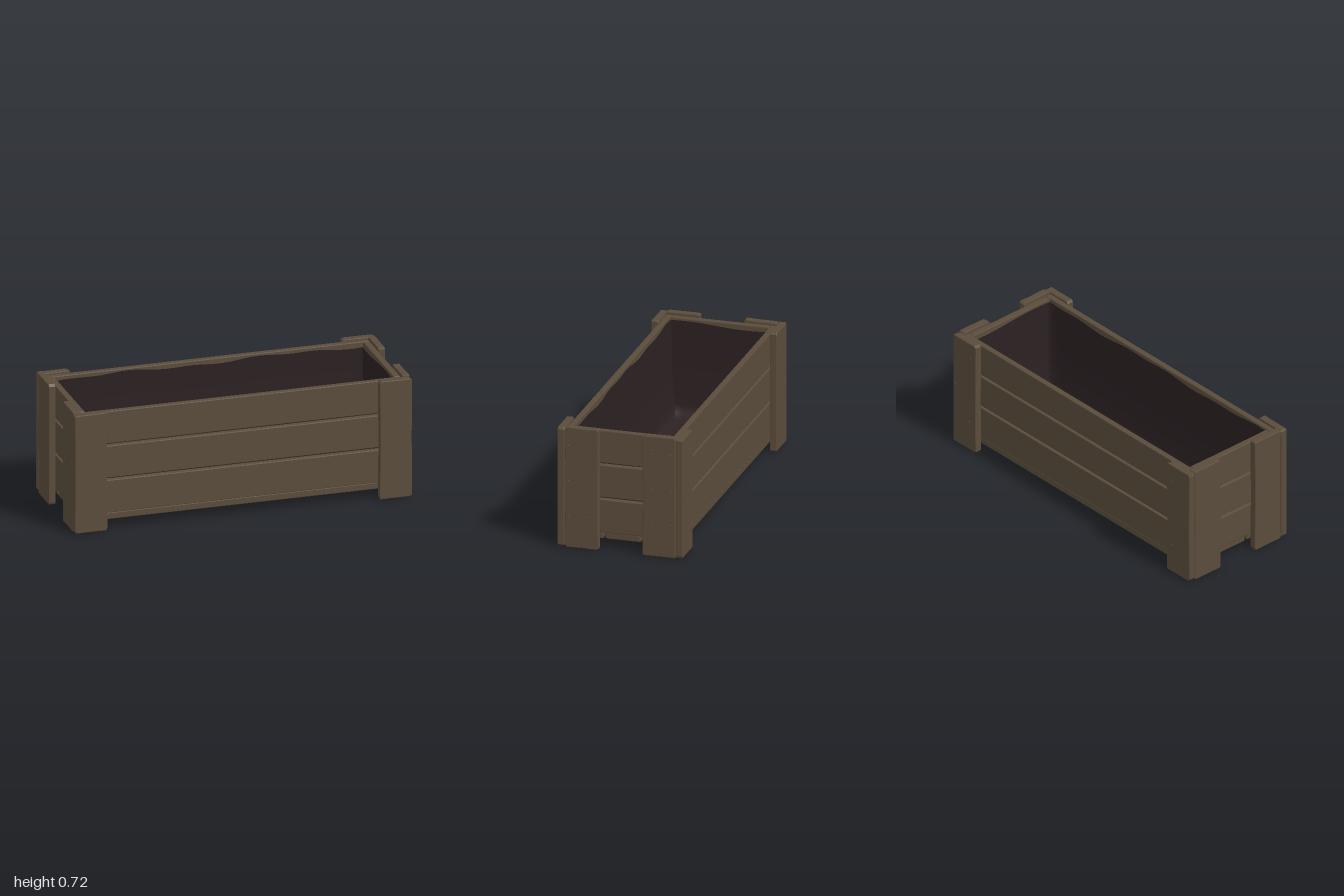
import * as THREE from 'three';

// Small seeded random for hand-cut irregularity
function makeRandom(seed) {
  let s = seed;
  return () => {
    s = (s * 16807) % 2147483647;
    return s / 2147483647;
  };
}

export function createModel() {
  const rand = makeRandom(4217);
  const wood = new THREE.MeshStandardMaterial({ color: 0x5a4c3b });
  wood.name = 'weathered wood';
  const cloth = new THREE.MeshStandardMaterial({ color: 0x2b2022, side: THREE.DoubleSide });
  cloth.name = 'dark liner';

  const model = new THREE.Group();
  model.name = 'planterCrate';

  // Bevelled board in the XY plane, centred, with uneven worn corners
  function boardGeometry(w, h, d, cut, wobble) {
    const b = 0.005;
    const x = w / 2 - b, y = h / 2 - b;
    const c = () => cut * (0.4 + rand());
    const j = () => -rand() * wobble;
    const pts = [
      [-x + c(), -y], [0, -y - j() * 0.5], [x - c(), -y],
      [x, -y + c()], [x + j(), 0], [x, y - c()],
      [x - c(), y + j()], [w * 0.15, y + j()], [-x + c(), y + j()],
      [-x, y - c()], [-x - j(), 0], [-x, -y + c()],
    ].map(([px, py]) => new THREE.Vector2(px, py));
    const geo = new THREE.ExtrudeGeometry(new THREE.Shape(pts), {
      depth: d - 2 * b, bevelEnabled: true, bevelThickness: b, bevelSize: b, bevelSegments: 2,
    });
    geo.translate(0, 0, -(d - 2 * b) / 2);
    return geo;
  }

  function addBoard(parent, name, size, pos, rot = [0, 0, 0], cut = 0.005, wobble = 0.002) {
    const mesh = new THREE.Mesh(boardGeometry(...size, cut, wobble), wood);
    mesh.name = name;
    mesh.position.set(...pos);
    mesh.rotation.set(...rot);
    parent.add(mesh);
    return mesh;
  }

  // Three rows of wall planks on each side
  const rows = [[0.093, 0.292], [0.304, 0.498], [0.51, 0.706]];
  for (const [y0, y1] of rows) {
    const h = y1 - y0, y = (y0 + y1) / 2;
    for (const s of [1, -1]) {
      addBoard(model, s > 0 ? 'frontPlank' : 'backPlank', [1.9, h, 0.035], [0, y, s * 0.308]);
      addBoard(model, s > 0 ? 'leftEndPlank' : 'rightEndPlank', [0.58, h, 0.038],
        [s * 0.929, y, 0], [0, Math.PI / 2, 0]);
    }
  }

  // Floor planks
  for (const z of [-0.22, 0, 0.22]) {
    addBoard(model, 'floorPlank', [1.88, 0.21, 0.041], [0, 0.0755, z], [Math.PI / 2, 0, 0]);
  }

  // Corner boards: one on the long face and one on the end face, with nails
  const nailGeo = new THREE.SphereGeometry(0.006, 8, 6);
  function addNail(board, x, y, depth) {
    const nail = new THREE.Mesh(nailGeo, wood);
    nail.name = 'nail';
    nail.position.set(x + (rand() - 0.5) * 0.014, y + (rand() - 0.5) * 0.012, depth / 2 - 0.002);
    board.add(nail);
  }
  const nailRows = [-0.172, 0.036, 0.253];
  for (const sx of [1, -1]) {
    for (const sz of [1, -1]) {
      const corner = new THREE.Group();
      corner.name = `${sz > 0 ? 'front' : 'back'}${sx > 0 ? 'Left' : 'Right'}Corner`;
      const face = addBoard(corner, 'faceBoard', [0.192, 0.712, 0.042],
        [sx * 0.898, 0.362, sz * 0.348], [0, sz > 0 ? 0 : Math.PI, 0], 0.009, 0.004);
      const end = addBoard(corner, 'endBoard', [0.197, 0.722, 0.042],
        [sx * 0.971, 0.361, sz * 0.2275], [0, sx * Math.PI / 2, 0], 0.009, 0.004);
      nailRows.forEach((y, i) => {
        addNail(face, sx * sz * (i === 1 ? 0.07 : -0.05), y, 0.042);
        for (const out of [0.075, -0.042]) addNail(end, -sx * sz * out, y, 0.042);
      });
      model.add(corner);
    }
  }

  // Deep cloth liner: square rings of a grid form the floor, then the outer rings climb the walls
  const X = 0.907, Z = 0.287, SPLIT = 0.6, FLOOR = 0.115;
  const liner = new THREE.PlaneGeometry(2, 2, 60, 60).rotateX(-Math.PI / 2);
  const p = liner.attributes.position;
  for (let i = 0; i < p.count; i++) {
    const u = p.getX(i), v = p.getZ(i);
    const m = Math.max(Math.abs(u), Math.abs(v), 1e-6);
    const f = Math.min(1, m / SPLIT);
    const climb = Math.max(0, (m - SPLIT) / (1 - SPLIT));
    const inset = 0.03 * (1 - climb) ** 3;
    const x = (X - inset) * f * u / m, z = (Z - inset) * f * v / m;
    const wave = Math.sin(x * 7 + z * 4) * 0.6 + Math.sin(x * 17 - z * 11) * 0.4;
    const edge = Math.min(X - Math.abs(x), Z - Math.abs(z)) - 0.03;
    const sag = Math.max(0, 1 - edge / 0.08);
    const base = FLOOR + 0.035 * Math.min(1, sag) ** 2;
    const top = 0.682 + 0.012 * wave;
    p.setXYZ(i, x, base + (top - base) * climb, z);
  }
  liner.computeVertexNormals();
  const linerMesh = new THREE.Mesh(liner, cloth);
  linerMesh.name = 'liner';
  model.add(linerMesh);

  return model;
}
